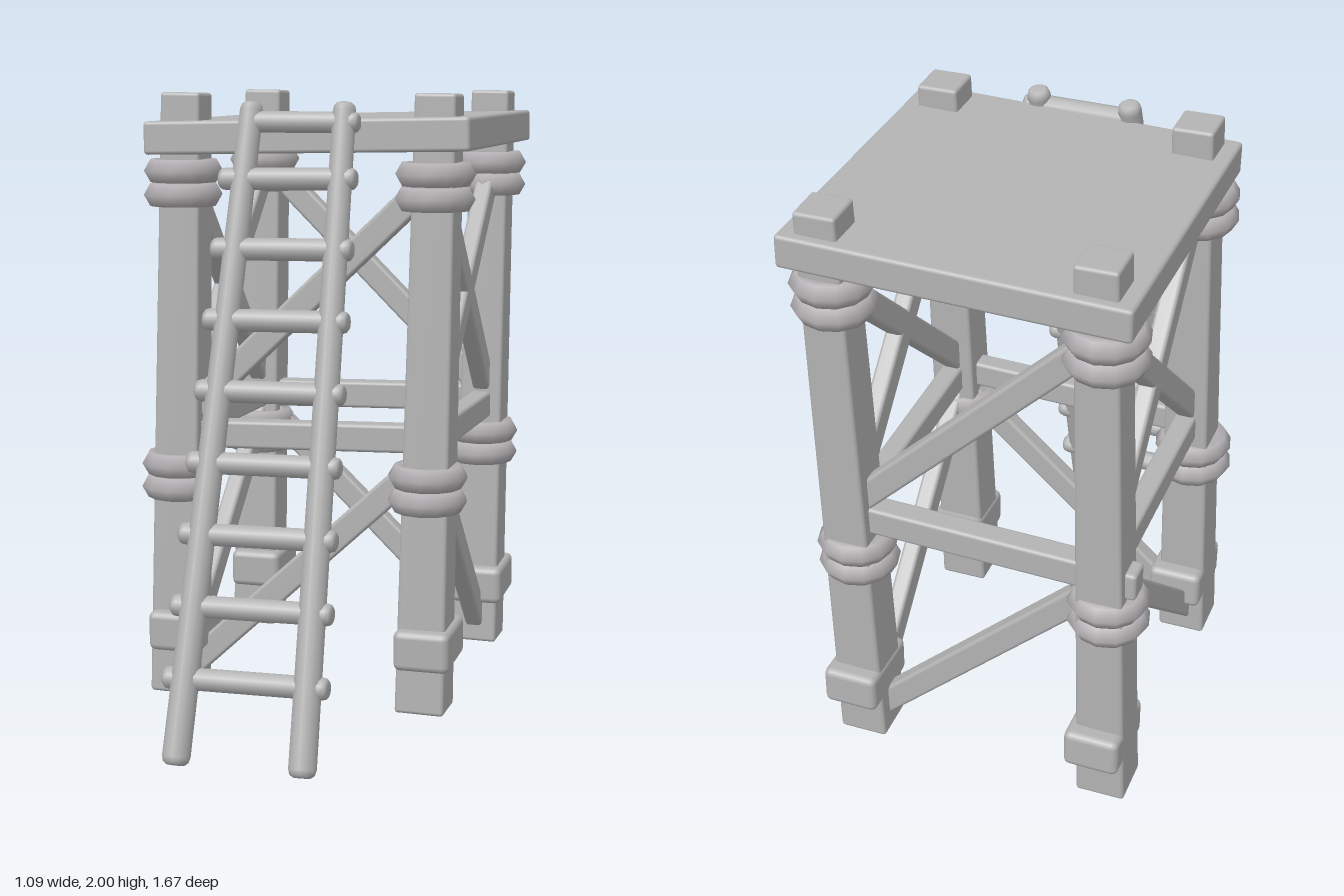
import * as THREE from 'three';
import { RoundedBoxGeometry } from 'three/addons/geometries/RoundedBoxGeometry.js';

const V = (x, y, z) => new THREE.Vector3(x, y, z);

export function createModel() {
  const model = new THREE.Group();
  model.name = 'watchtower';
  const wood = new THREE.MeshStandardMaterial({ color: 0xb3b3b3 });
  wood.name = 'wood grey';
  const rope = new THREE.MeshStandardMaterial({ color: 0xb3afb2 });
  rope.name = 'rope grey';

  const add = (name, geometry, material, position, parent = model) => {
    const mesh = new THREE.Mesh(geometry, material);
    mesh.name = name;
    mesh.position.copy(position);
    parent.add(mesh);
    return mesh;
  };

  // Bevelled plank between two points; normal is the direction its wide face looks
  const beam = (name, a, b, width, depth, normal) => {
    const dir = b.clone().sub(a);
    const geo = new RoundedBoxGeometry(width, dir.length(), depth, 2, 0.012);
    const mesh = add(name, geo, wood, a.clone().lerp(b, 0.5));
    const y = dir.normalize();
    const x = y.clone().cross(normal).normalize();
    mesh.quaternion.setFromRotationMatrix(new THREE.Matrix4().makeBasis(x, y, x.clone().cross(y)));
    return mesh;
  };

  // Round pole with bevelled ends, from a to b
  const pole = (name, a, b, ra, rb, bevel, parent) => {
    const dir = b.clone().sub(a), h = dir.length();
    const profile = [[0, 0], [ra * 0.65, 0], [ra * 0.9, bevel * 0.35], [ra, bevel],
      [rb, h - bevel], [rb * 0.9, h - bevel * 0.35], [rb * 0.65, h], [0, h]];
    const geo = new THREE.LatheGeometry(profile.map(p => new THREE.Vector2(...p)), 12);
    const mesh = add(name, geo, wood, a, parent);
    mesh.quaternion.setFromUnitVectors(V(0, 1, 0), dir.normalize());
    return mesh;
  };

  // Corner posts: slightly tapered and leaning
  const LOW = 0.045, HIGH = 2;
  const corners = {
    frontRight: [V(-0.425, LOW, 0.165), V(-0.4, HIGH, 0.122)],
    frontLeft: [V(0.403, LOW, 0.165), V(0.425, HIGH, 0.122)],
    backRight: [V(-0.425, LOW, -0.692), V(-0.4, HIGH, -0.735)],
    backLeft: [V(0.403, LOW, -0.692), V(0.425, HIGH, -0.735)],
  };
  const at = (corner, y) => {
    const [a, b] = corners[corner];
    return a.clone().lerp(b, (y - LOW) / (HIGH - LOW));
  };
  for (const corner of Object.keys(corners)) {
    const [a, b] = corners[corner];
    const post = beam(corner + 'Post', a, b, 0.16, 0.16, V(0, 0, 1));
    const p = post.geometry.attributes.position;
    for (let i = 0; i < p.count; i++) {
      const s = THREE.MathUtils.lerp(1, 0.81, p.getY(i) / (HIGH - LOW) + 0.5);
      p.setX(i, p.getX(i) * s);
      p.setZ(i, p.getZ(i) * s);
    }
    post.geometry.computeBoundingSphere();

    // Two pairs of rope rings
    for (const y of [0.732, 0.808, 1.678, 1.754]) {
      const ring = add(corner + 'RopeRing', new THREE.TorusGeometry(0.086, 0.042, 6, 12), rope, at(corner, y));
      ring.position.x -= 0.004;
      ring.position.z += 0.01;
      ring.rotation.x = Math.PI / 2;
    }

    // Foot block
    const foot = at(corner, 0.262).add(V(corner.endsWith('Left') ? 0.008 : 0.012, 0, -0.01));
    add(corner + 'FootBlock', new RoundedBoxGeometry(0.18, 0.13, 0.25, 2, 0.022), wood, foot).rotation.x = 0.03;
  }

  // Diagonal braces: each runs from the lower corner to the higher corner
  const front = V(0, 0, 1), side = V(1, 0, 0);
  const brace = (from, to, y0, y1, normal) =>
    beam('diagonalBrace', at(from, y0), at(to, y1), 0.085, 0.06, normal);
  for (const [y0, y1] of [[0.09, 0.87], [0.95, 1.75]]) {
    brace('frontRight', 'frontLeft', y0, y1, front);
    brace('backLeft', 'backRight', y0, y1, front);
    brace('backLeft', 'frontLeft', y0, y1, side);
    brace('frontRight', 'backRight', y0, y1, side);
  }
  brace('frontLeft', 'backLeft', 0.95, 1.75, side);
  brace('backRight', 'frontRight', 0.95, 1.75, side);

  // Horizontal beams around the middle
  beam('frontCrossbeam', at('frontRight', 0.905), at('frontLeft', 0.925), 0.09, 0.07, front);
  beam('backCrossbeam', V(-0.52, 0.902, -0.71), V(0.41, 0.922, -0.71), 0.095, 0.08, front);
  beam('leftCrossbeam', at('frontLeft', 0.922), at('backLeft', 0.905), 0.09, 0.07, side);
  beam('rightCrossbeam', at('frontRight', 0.922), at('backRight', 0.905), 0.09, 0.07, side);

  // Platform, a little tilted
  add('platform', new RoundedBoxGeometry(1.055, 0.105, 1.045, 2, 0.012), wood,
    V(0.012, 1.868, -0.307)).rotation.z = 0.021;

  // Ladder leaning on the front edge
  const ladder = new THREE.Group();
  ladder.name = 'ladder';
  model.add(ladder);
  pole('ladderRightRail', V(-0.217, 0.012, 0.79), V(-0.148, 1.97, 0.218), 0.044, 0.037, 0.025, ladder);
  pole('ladderLeftRail', V(0.18, 0.012, 0.79), V(0.15, 1.97, 0.218), 0.044, 0.037, 0.025, ladder);
  const rungs = [0.26, 0.47, 0.68, 0.89, 1.103, 1.315, 1.528, 1.74];
  rungs.forEach((y, i) => {
    const t = i / (rungs.length - 1), z = 0.785 - y * 0.289;
    pole('ladderRung', V(-0.28 + 0.045 * t, y - 0.003, z), V(0.24 - 0.035 * t, y + 0.003, z), 0.035, 0.035, 0.02, ladder);
  });
  pole('ladderTopRung', V(-0.17, 1.912, 0.232), V(0.2, 1.912, 0.232), 0.033, 0.033, 0.02, ladder);

  return model;
}
